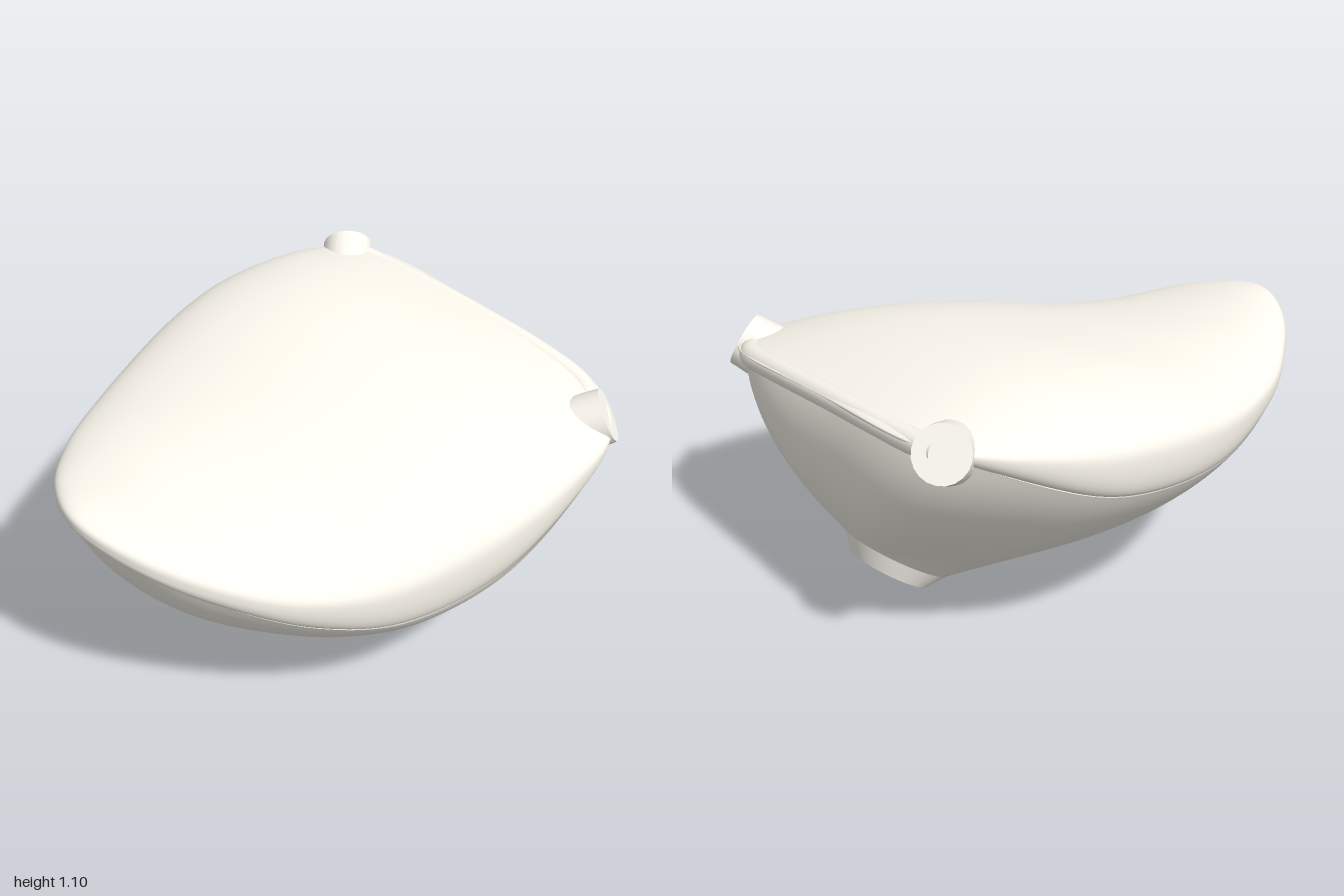
import * as THREE from 'three';

const V = (x, y, z) => new THREE.Vector3(x, y, z);
const { lerp, smoothstep } = THREE.MathUtils;
const SEG = 144;

// Outline stations, front -> +x -> back -> -x:
// x, z, seam height, then how far the shell's control point goes to the base (x, y, z)
const STATIONS = [
  [-0.11, 1.0, 0.81, 0.25, 0.78, 0.14],
  [0.14, 0.94, 0.73, 0.22, 0.77, 0.14],
  [0.36, 0.78, 0.62, 0.19, 0.75, 0.16],
  [0.58, 0.53, 0.5, 0.18, 0.73, 0.2],
  [0.745, 0.23, 0.44, 0.18, 0.71, 0.24],
  [0.85, -0.15, 0.48, 0.18, 0.68, 0.22],
  [0.88, -0.5, 0.61, 0.17, 0.6, 0.1],
  [0.83, -0.79, 0.76, 0.12, 0.5, -0.2],
  [0.57, -0.95, 0.89, 0.15, 0.47, -0.5],
  [0, -0.97, 0.95, 0.25, 0.46, -0.65],
  [-0.5, -0.96, 0.99, 0.18, 0.47, -0.5],
  [-0.73, -0.8, 0.92, 0.17, 0.5, -0.2],
  [-0.86, -0.47, 0.77, 0.21, 0.53, 0.1],
  [-0.865, -0.15, 0.69, 0.22, 0.55, 0.22],
  [-0.79, 0.2, 0.65, 0.22, 0.58, 0.24],
  [-0.67, 0.5, 0.68, 0.22, 0.64, 0.2],
  [-0.54, 0.7, 0.72, 0.23, 0.7, 0.16],
  [-0.34, 0.9, 0.78, 0.24, 0.76, 0.14],
];
const closed = (pts) => new THREE.CatmullRomCurve3(pts, true, 'catmullrom', 0.5);
const outline = closed(STATIONS.map(([x, z, s]) => V(x, s, z)));
const bulge = closed(STATIONS.map((s) => V(s[3], s[4], s[5])));

// Height of the cushion's saddle-shaped top
function topHeight(x, z) {
  const ridge = 0.985 - 0.095 * Math.cos((2 * Math.PI * (z - 0.7)) / 2.5);
  const lip = 0.03 * smoothstep(z, 0.6, 0.95);
  const dx = x + 0.3;
  const round = 0.085 + 0.1 * smoothstep(z, 0, 1);
  return ridge + lip - 0.055 * dx - round * dx * dx;
}

// Closed rings, each a function of u in 0..1, joined into one smooth skin
function loft(rings) {
  const pos = [], index = [];
  rings.forEach((ring, j) => {
    for (let i = 0; i < SEG; i++) {
      const p = ring(i / SEG);
      pos.push(p.x, p.y, p.z);
      if (j === rings.length - 1) continue;
      const a = j * SEG + i, b = j * SEG + ((i + 1) % SEG);
      index.push(a, b, a + SEG, b, b + SEG, a + SEG);
    }
  });
  const g = new THREE.BufferGeometry();
  g.setAttribute('position', new THREE.Float32BufferAttribute(pos, 3));
  g.setIndex(index);
  g.computeVertexNormals();
  return g;
}

// One cushion ring at angle t: -90 deg at the tucked seam, 0 at the widest, 90 at the middle
const cushionRing = (t) => (u) => {
  const p = outline.getPoint(u);
  const front = smoothstep(p.z, 0.4, 1);
  const mid = lerp(p.y, topHeight(p.x, p.z), lerp(0.42, 0.32, front));
  const cos = Math.max(0, Math.cos(t)), sin = Math.sin(t);
  if (t < 0) {
    const r = 0.945 + 0.055 * cos;
    return V(p.x * r, mid + (mid - p.y) * sin, p.z * r);
  }
  const e = 2 / lerp(2.7, 3.8, front);
  const r = cos < 1e-6 ? 0 : cos ** e;
  const x = p.x * r, z = p.z * r;
  return V(x, mid + (topHeight(x, z) - mid) * sin ** e, z);
};

// Tilted ellipse around the base socket
const socketRing = (cy, cz, rx, rv) => (u) => {
  const p = outline.getPoint(u);
  const a = Math.atan2(p.x, p.z);
  return V(0.12 + rx * Math.sin(a), cy - 0.595 * rv * Math.cos(a), cz + 0.8 * rv * Math.cos(a));
};
const shellFoot = socketRing(0.155, -0.625, 0.19, 0.23);
const socketRim = socketRing(0.1, -0.665, 0.155, 0.168);
const socketCentre = socketRing(0.1, -0.665, 0, 0);

// Shell ring at t: 0 at the foot, 1 at the seam, along a bulging curve
const shellRing = (t) => (u) => {
  const foot = shellFoot(u), p = outline.getPoint(u), f = bulge.getPoint(u);
  const seam = V(p.x * 0.975, p.y + 0.01, p.z * 0.975);
  const c = V(lerp(seam.x, foot.x, f.x), lerp(seam.y, foot.y, f.y), lerp(seam.z, foot.z, f.z));
  return new THREE.QuadraticBezierCurve3(foot, c, seam).getPoint(t);
};

export function createModel() {
  const model = new THREE.Group();
  const material = new THREE.MeshStandardMaterial({ color: 0xfffbf1, side: THREE.DoubleSide });
  const add = (name, geometry) => {
    const mesh = new THREE.Mesh(geometry, material);
    mesh.name = name;
    model.add(mesh);
    return mesh;
  };

  // Padded cushion: tucked edge, then rounded over to the middle
  const angles = Array.from({ length: 45 }, (_, i) => (i < 8 ? i / 8 - 1 : (i - 8) / 36));
  add('cushion', loft(angles.map((a) => cushionRing((a * Math.PI) / 2))));

  // Shell under the cushion
  add('shell', loft(Array.from({ length: 25 }, (_, i) => shellRing(i / 24))));

  // Base socket: sloping collar and flat end
  add('socketCollar', loft([socketRim, shellFoot]));
  add('socketEnd', loft([socketCentre, socketRim]));

  // Low rim along the back, between the two corner stubs
  const rim = new THREE.CatmullRomCurve3([
    V(-0.6, 1.0, -0.91), V(-0.4, 0.985, -0.925), V(0, 0.955, -0.93), V(0.4, 0.91, -0.925),
    V(0.6, 0.875, -0.9), V(0.72, 0.84, -0.82),
  ]);
  add('backRim', new THREE.TubeGeometry(rim, 40, 0.045, 16));

  // Corner stubs sunk into the cushion and shell
  const stub = (name, end, direction, radius) => {
    const length = 0.17;
    const d = direction.normalize();
    const mesh = add(name, new THREE.CylinderGeometry(radius, radius * 1.1, length, 20));
    mesh.quaternion.setFromUnitVectors(V(0, 1, 0), d);
    mesh.position.copy(end).addScaledVector(d, -length / 2);
  };
  stub('leftStub', V(0.78, 0.855, -0.83), V(0.7, 0.45, -0.55), 0.105);
  stub('rightStub', V(-0.63, 1.01, -0.92), V(-0.6, 0.45, -0.66), 0.1);

  return model;
}
